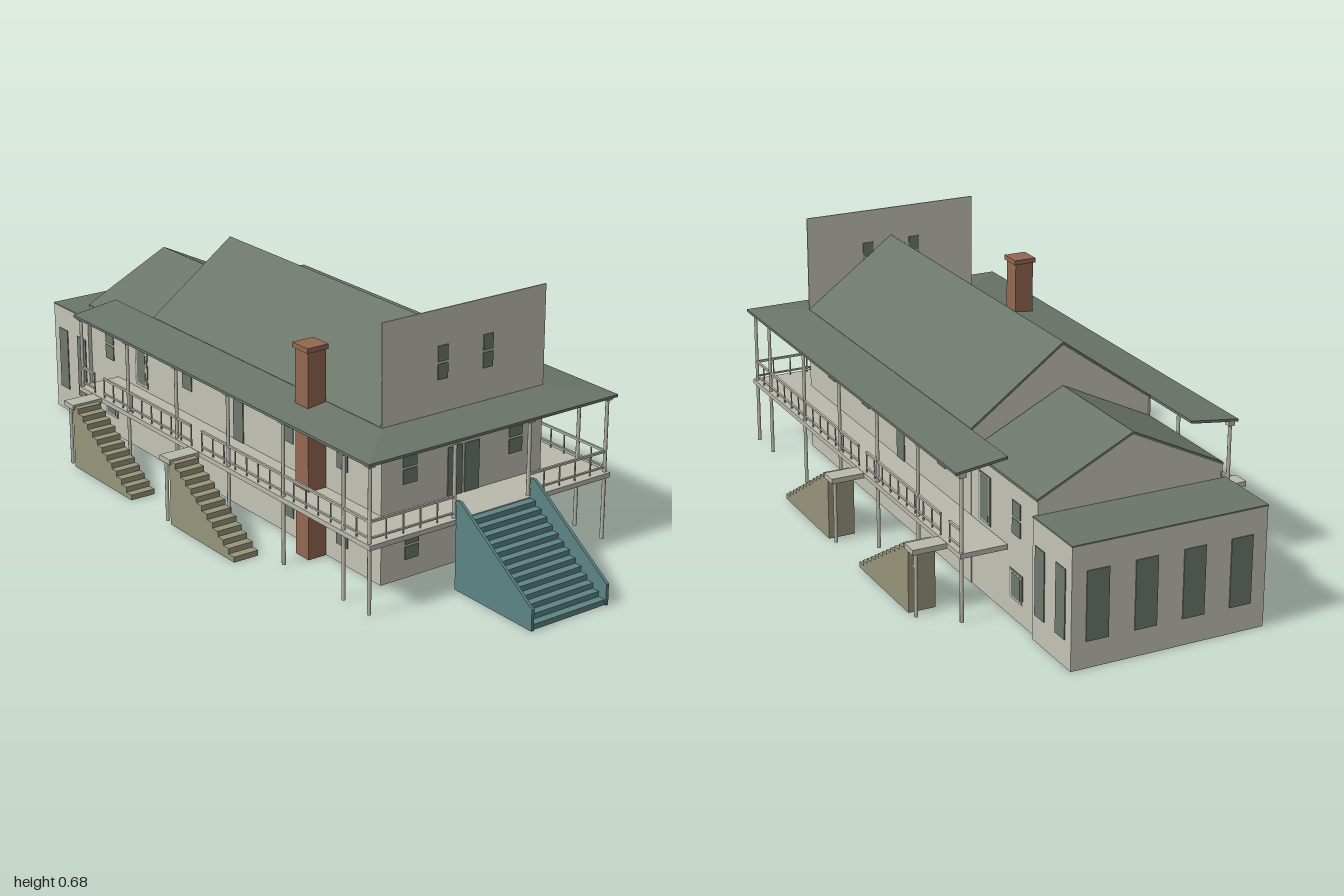
import * as THREE from 'three';

const mat = (name, color, side = THREE.FrontSide) =>
  Object.assign(new THREE.MeshStandardMaterial({ color, side }), { name });

const WALL = 0.255, FRONT = 0.582, MID = -0.44, PORCH_END = -0.637, REAR = -0.786, BACK = -0.972;
const DECK = 0.376, DECK_FRONT = 0.697, FLOOR = 0.185, CEIL = 0.392;

export function createModel() {
  const M = {
    wall: mat('plaster', 0xc3c3b6), roof: mat('roofing', 0x6b756a, THREE.DoubleSide),
    glass: mat('window green', 0x6d786c), trim: mat('trim', 0xb9b9ac),
    teal: mat('teal paint', 0x5c8484), olive: mat('olive wood', 0x969479), brick: mat('brick', 0x936850),
  };
  const house = new THREE.Group();
  house.name = 'house';
  const add = (name, geo, m, parent = house) => {
    const mesh = new THREE.Mesh(geo, m);
    mesh.name = name;
    parent.add(mesh);
    return mesh;
  };
  const box = (name, m, x0, x1, y0, y1, z0, z1) =>
    add(name, new THREE.BoxGeometry(Math.abs(x1 - x0), y1 - y0, Math.abs(z1 - z0))
      .translate((x0 + x1) / 2, (y0 + y1) / 2, (z0 + z1) / 2), m);
  const shapeOf = (pts) => new THREE.Shape(pts.map((p) => new THREE.Vector2(p[0], p[1])));
  // upright panel facing z, outline in (x, y)
  const panelZ = (name, m, pts, z, t = 0.004) =>
    add(name, new THREE.ExtrudeGeometry(shapeOf(pts), { depth: t, bevelEnabled: false }).translate(0, 0, z - t / 2), m);
  // upright panel facing x, outline in (z, y)
  const panelX = (name, m, pts, x, t = 0.004) =>
    add(name, new THREE.ExtrudeGeometry(shapeOf(pts), { depth: t, bevelEnabled: false })
      .rotateY(-Math.PI / 2).translate(x + t / 2, 0, 0), m);
  // four-cornered roof sheet with a little thickness
  const sheet = (name, q, t = 0.007) => {
    const pts = [...q, ...q.map(([x, y, z]) => [x, y - t, z])];
    const idx = [0, 1, 2, 0, 2, 3, 4, 6, 5, 4, 7, 6];
    for (let i = 0; i < 4; i++) {
      const j = (i + 1) % 4;
      idx.push(i, i + 4, j, j, i + 4, j + 4);
    }
    const g = new THREE.BufferGeometry();
    g.setAttribute('position', new THREE.Float32BufferAttribute(pts.flat(), 3));
    g.setIndex(idx);
    const flat = g.toNonIndexed();
    flat.computeVertexNormals();
    add(name, flat, M.roof);
  };
  // thin plate let into a wall; axis is the direction it faces
  const plate = (name, m, axis, a, w, y0, y1, at, t = 0.009) => axis === 'z'
    ? box(name, m, a - w / 2, a + w / 2, y0, y1, at - t / 2, at + t / 2)
    : box(name, m, at - t / 2, at + t / 2, y0, y1, a - w / 2, a + w / 2);
  const sash = (axis, a, w, y0, y1, at) => {
    const mid = (y0 + y1) / 2;
    plate('windowLower', M.glass, axis, a, w, y0, mid - 0.003, at);
    plate('windowUpper', M.glass, axis, a, w, mid + 0.003, y1, at);
  };
  const framed = (axis, a, w, y0, y1, at) => {
    plate('windowFrame', M.glass, axis, a, w + 0.022, y0 - 0.008, y1 + 0.008, at, 0.0065);
    plate('windowReveal', M.trim, axis, a, w + 0.012, y0 - 0.004, y1 + 0.004, at, 0.008);
    plate('windowPane', M.glass, axis, a, w, y0, y1, at, 0.0095);
  };

  // Walls
  box('falseFront', M.wall, -WALL, WALL, 0, 0.68, FRONT - 0.004, FRONT);
  panelZ('mainRearGable', M.wall, [[-WALL, 0.34], [WALL, 0.34], [WALL, 0.408], [0, 0.592], [-WALL, 0.408]], MID + 0.006);
  panelZ('wingRearGable', M.wall, [[-0.25, 0.3], [0.25, 0.3], [0.25, 0.356], [0, 0.478], [-0.25, 0.356]], REAR + 0.003);
  box('annexBackWall', M.wall, -0.264, 0.264, 0, 0.315, BACK, BACK + 0.004);
  for (const s of [-1, 1]) {
    box('mainSideWall', M.wall, s * WALL, s * (WALL - 0.004), 0, 0.41, MID, FRONT - 0.004);
    box('wingSideWall', M.wall, s * 0.253, s * 0.249, 0, 0.357, REAR, MID);
    box('annexSideWall', M.wall, s * 0.264, s * 0.26, 0, 0.315, BACK + 0.004, REAR);
    box('annexReturnWall', M.wall, s * 0.25, s * 0.264, 0, 0.315, REAR, REAR + 0.004);
  }

  // Roofs
  for (const s of [-1, 1]) {
    sheet('mainRoof', s > 0
      ? [[0, 0.6, FRONT - 0.004], [WALL, 0.415, FRONT - 0.004], [WALL, 0.415, MID], [0, 0.6, MID]]
      : [[0, 0.6, MID], [-WALL, 0.415, MID], [-WALL, 0.415, FRONT - 0.004], [0, 0.6, FRONT - 0.004]]);
    sheet('wingRoof', s > 0
      ? [[0, 0.485, MID], [0.255, 0.36, MID], [0.255, 0.36, REAR], [0, 0.485, REAR]]
      : [[0, 0.485, REAR], [-0.255, 0.36, REAR], [-0.255, 0.36, MID], [0, 0.485, MID]]);
    const side = [[WALL, 0.414, FRONT], [0.392, 0.396, 0.711], [0.392, 0.396, PORCH_END], [WALL, 0.414, PORCH_END]];
    sheet('porchRoofSide', s > 0 ? side : side.map(([x, y, z]) => [-x, y, z]).reverse());
  }
  sheet('porchRoofFront', [[-WALL, 0.414, FRONT], [-0.392, 0.396, 0.711], [0.392, 0.396, 0.711], [WALL, 0.414, FRONT]]);
  box('annexRoof', M.roof, -0.265, 0.265, 0.315, 0.319, BACK - 0.001, REAR + 0.004);

  // Front windows and doors
  for (const s of [-1, 1]) {
    sash('z', s * 0.071, 0.031, 0.5, 0.587, FRONT - 0.002);
    sash('z', s * 0.168, 0.043, 0.252, 0.335, FRONT - 0.002);
    plate('frontDoor', M.glass, 'z', s * 0.027, 0.046, FLOOR, 0.316, FRONT - 0.002);
  }
  sash('z', 0.155, 0.042, 0.004, 0.122, FRONT - 0.002);
  sash('z', -0.16, 0.042, 0.05, 0.125, FRONT - 0.002);

  // Side and rear windows
  for (const s of [-1, 1]) {
    const w = s * (WALL - 0.002), wing = s * 0.251;
    for (const z of [0.425, 0.195, -0.275]) {
      sash('x', z, 0.045, 0.255, 0.345, w);
      sash('x', z, 0.045, 0.05, 0.125, w);
    }
    plate('sideDoor', M.glass, 'x', -0.03, 0.045, FLOOR, 0.318, w);
    framed('x', -0.512, 0.042, 0.2, 0.315, wing);
    sash('x', -0.68, 0.042, 0.225, 0.312, wing);
    framed('x', -0.68, 0.045, 0.06, 0.122, wing);
    for (const z of [-0.82, -0.921]) plate('annexSideWindow', M.glass, 'x', z, 0.046, 0.07, 0.25, s * 0.262);
    for (const x of [0.065, 0.195]) plate('annexBackWindow', M.glass, 'z', s * x, 0.06, 0.07, 0.25, BACK + 0.002);
  }

  // Porch deck
  box('deckFront', M.trim, -DECK - 0.006, DECK + 0.006, 0.172, FLOOR, FRONT, DECK_FRONT + 0.008);
  for (const s of [-1, 1]) box('deckSide', M.trim, s * WALL, s * (DECK + 0.006), 0.172, FLOOR, PORCH_END, FRONT);

  // Columns with capitals
  const column = (x, z, y0) => {
    const h = CEIL - y0;
    add('column', new THREE.CylinderGeometry(0.0048, 0.0052, h, 8).translate(x, y0 + h / 2, z), M.trim);
    box('capital', M.trim, x - 0.009, x + 0.009, CEIL - 0.012, CEIL, z - 0.009, z + 0.009);
  };
  for (const s of [-1, 1]) {
    for (const z of [0.692, 0.59, 0.34, 0.098, -0.144, -0.386, -0.628]) column(s * (DECK - 0.002), z, 0);
    column(s * 0.118, 0.692, FLOOR);
  }

  // Railings, open at the stair landings
  const rail = (axis, at, a0, a1) => {
    const bar = (y, h) => plate('rail', M.trim, axis, (a0 + a1) / 2, a1 - a0, y, y + h, at, 0.006);
    bar(0.238, 0.006);
    bar(0.196, 0.004);
    const n = Math.max(1, Math.round((a1 - a0) / 0.05));
    for (let i = 0; i <= n; i++) plate('baluster', M.trim, axis, a0 + ((a1 - a0) * i) / n, 0.003, FLOOR, 0.24, at, 0.003);
  };
  const landings = [-0.564, -0.075];
  for (const s of [-1, 1]) {
    rail('x', s * (DECK - 0.002), landings[1] + 0.05, 0.692);
    rail('x', s * (DECK - 0.002), landings[0] + 0.05, landings[1]);
    rail('x', s * (DECK - 0.002), -0.63, landings[0]);
    rail('z', 0.692, s > 0 ? 0.118 : -DECK, s > 0 ? DECK : -0.118);
  }

  // Flight of thin treads and risers descending toward +z
  const flight = (name, m, x0, x1, zTop, zEnd, top, n) => {
    const d = (zEnd - zTop) / n, r = top / n;
    for (let i = 0; i < n; i++) {
      const y = top - r * i, z = zTop + d * i;
      box(name + 'Tread', m, x0, x1, y - 0.003, y, z, z + d);
      box(name + 'Riser', m, x0, x1, y - r, y - 0.003, z + d - 0.003, z + d);
    }
  };

  // Front stairs with solid side parapets
  flight('frontStair', M.teal, -0.114, 0.114, 0.705, 0.985, 0.182, 13);
  for (const s of [-1, 1])
    panelX('frontStairParapet', M.teal, [[0.705, 0], [0.989, 0], [0.989, 0.056], [0.72, 0.236], [0.705, 0.236]], s * 0.118, 0.008);

  // Side stairs with stepped side panels and landings
  for (const s of [-1, 1]) for (const z0 of landings) {
    const n = 12, zt = z0 + 0.042, ze = z0 + 0.333, top = 0.178;
    flight('sideStair', M.olive, s * 0.397, s * 0.465, zt, ze, top, n);
    const pts = [[ze, 0], [zt, 0]];
    for (let i = 0; i < n; i++) {
      const y = top - (top * i) / n;
      pts.push([zt + ((ze - zt) * i) / n, y], [zt + ((ze - zt) * (i + 1)) / n, y]);
    }
    for (const x of [0.397, 0.466]) panelX('sideStairPanel', M.olive, pts.slice().reverse(), s * x);
    box('sideStairBack', M.olive, s * 0.395, s * 0.468, 0, top, zt - 0.003, zt);
    box('landing', M.trim, s * DECK, s * 0.473, 0.17, FLOOR - 0.001, z0, z0 + 0.048);
    add('landingPost', new THREE.CylinderGeometry(0.005, 0.005, 0.17, 8).translate(s * 0.46, 0.085, z0 + 0.012), M.trim);
  }

  // Chimney against the left-hand wall
  box('chimney', M.brick, -0.31, -0.256, 0, 0.552, 0.303, 0.357);
  box('chimneyCap', M.brick, -0.315, -0.251, 0.552, 0.565, 0.298, 0.362);

  // The house stands slightly turned on its plot
  house.position.set(-0.024, 0, -0.003);
  house.rotation.y = -0.122;
  const root = new THREE.Group();
  root.name = 'porchHouse';
  root.add(house);
  return root;
}
